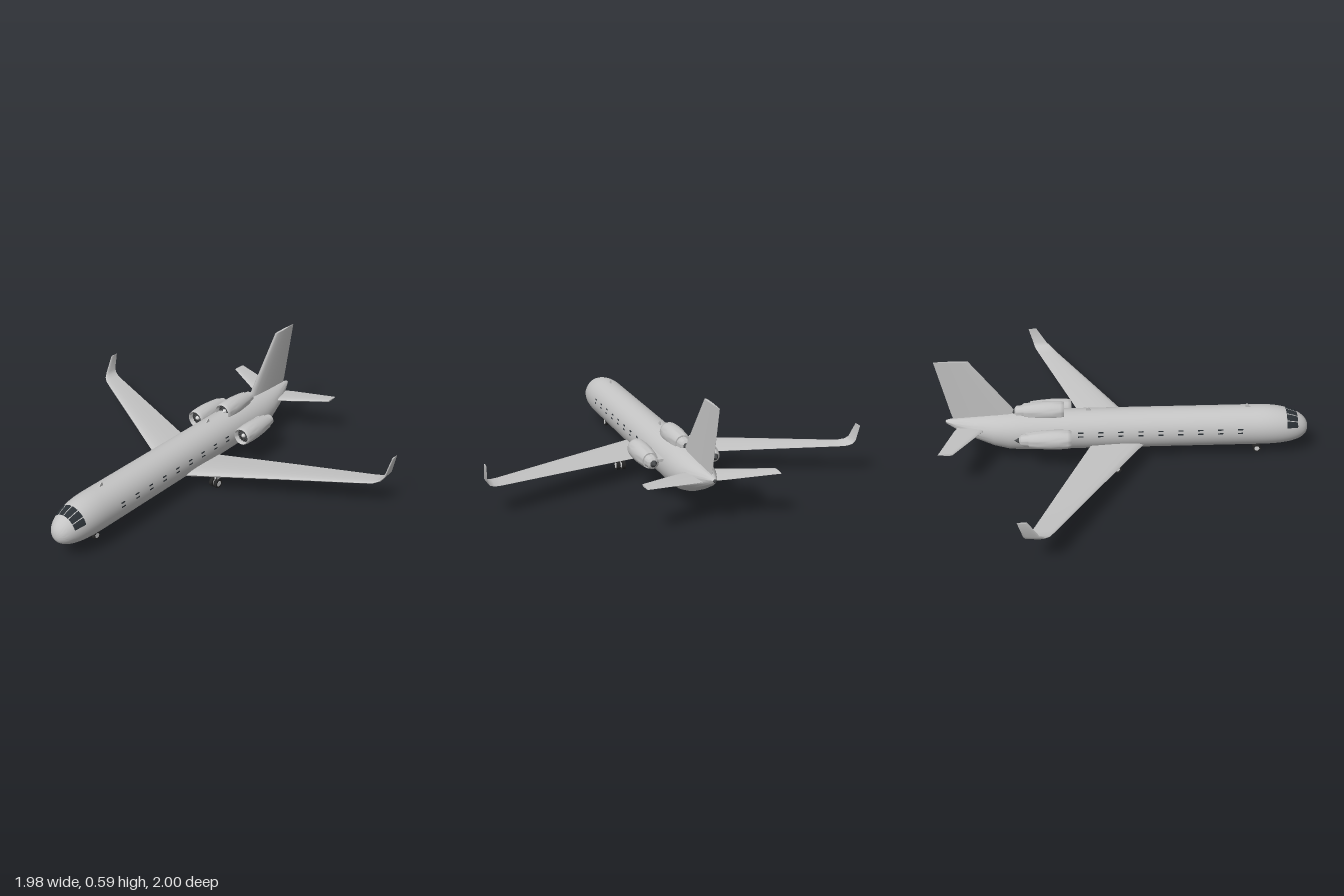
import * as THREE from 'three';
import { toCreasedNormals } from 'three/addons/utils/BufferGeometryUtils.js';

const mat = (name, color, side = THREE.FrontSide) => {
  const m = new THREE.MeshStandardMaterial({ color, side });
  m.name = name;
  return m;
};
const paint = mat('light grey paint', 0xc4c4c4);
const glass = mat('dark glass', 0x2b3136, THREE.DoubleSide);
const rubber = mat('tyre rubber', 0x262626);
const metal = mat('dark engine metal', 0x47494b);
const hubMetal = mat('pale hub metal', 0xd8d8d8);

function add(parent, name, geometry, material, x = 0, y = 0, z = 0) {
  const mesh = new THREE.Mesh(geometry, material);
  mesh.name = name;
  mesh.position.set(x, y, z);
  parent.add(mesh);
  return mesh;
}

// Skin a list of equal-length rings, cap both ends, and face outward
function loft(rings, crease = 0.8) {
  const n = rings[0].length, pos = [], idx = [];
  rings.forEach(r => r.forEach(p => pos.push(...p)));
  for (let i = 0; i < rings.length - 1; i++) {
    for (let j = 0; j < n; j++) {
      const a = i * n + j, b = i * n + (j + 1) % n;
      idx.push(a, b, a + n, b, b + n, a + n);
    }
  }
  for (const end of [0, rings.length - 1]) {
    const c = pos.length / 3;
    pos.push(...[0, 1, 2].map(k => rings[end].reduce((s, p) => s + p[k], 0) / n));
    for (let j = 0; j < n; j++) {
      const a = end * n + j, b = end * n + (j + 1) % n;
      if (end === 0) idx.push(b, a, c); else idx.push(a, b, c);
    }
  }
  const P = i => new THREE.Vector3().fromArray(pos, i * 3);
  let volume = 0;
  for (let i = 0; i < idx.length; i += 3) volume += P(idx[i]).dot(P(idx[i + 1]).cross(P(idx[i + 2])));
  if (volume < 0) idx.reverse();
  const g = new THREE.BufferGeometry();
  g.setAttribute('position', new THREE.Float32BufferAttribute(pos, 3));
  g.setIndex(idx);
  return toCreasedNormals(g, crease);
}

// Tail stations: z, top, bottom, half width
const TAIL = [
  [0.72, 0.278, 0.059, 0.106], [-0.54, 0.278, 0.059, 0.106], [-0.62, 0.275, 0.066, 0.104],
  [-0.7, 0.27, 0.088, 0.095], [-0.8, 0.26, 0.132, 0.072], [-0.9, 0.248, 0.183, 0.034],
  [-0.955, 0.238, 0.219, 0.009]];

// Fuselage cross-section at z: centre height, half width, half height
function section(z) {
  if (z > 0.72) {
    const t = Math.min((z - 0.72) / 0.28, 1), k = Math.pow(1 - Math.pow(t, 2.4), 0.43);
    return [0.1685 - 0.018 * t * t, 0.106 * k, 0.1095 * k];
  }
  let i = 0;
  while (i < TAIL.length - 2 && z < TAIL[i + 1][0]) i++;
  const a = TAIL[i], b = TAIL[i + 1], t = (z - a[0]) / (b[0] - a[0]);
  const [top, bottom, w] = [1, 2, 3].map(k => a[k] + (b[k] - a[k]) * t);
  return [(top + bottom) / 2, w, (top - bottom) / 2];
}

// Point on the fuselage skin, angle measured from the top
function skin(z, angle, offset = 0) {
  const [cy, rx, ry] = section(z);
  return [Math.sin(angle) * (rx + offset), cy + Math.cos(angle) * (ry + offset), z];
}

// Thin plate following the fuselage skin
function skinPatch(z0, z1, a0, a1, offset, n = 5) {
  const pos = [], idx = [];
  for (let i = 0; i <= n; i++) {
    for (let j = 0; j <= n; j++) {
      pos.push(...skin(z0 + (z1 - z0) * i / n, a0 + (a1 - a0) * j / n, offset));
      const k = i * (n + 1) + j;
      if (i < n && j < n) idx.push(k, k + n + 1, k + 1, k + 1, k + n + 1, k + n + 2);
    }
  }
  const g = new THREE.BufferGeometry();
  g.setAttribute('position', new THREE.Float32BufferAttribute(pos, 3));
  g.setIndex(idx);
  g.computeVertexNormals();
  return g;
}

// Aerofoil surface; stations: x, y, leading z, trailing z, thickness, tilt
const FOIL = [[0, 0], [0.03, 0.55], [0.12, 0.9], [0.3, 1], [0.55, 0.78], [0.8, 0.4], [1, 0.04]];
function foil(stations, side = 1) {
  const outline = [...FOIL, ...FOIL.slice(1).reverse().map(([u, t]) => [u, -t])];
  return loft(stations.map(([x, y, lead, trail, thick, tilt]) => outline.map(([u, t]) => [
    side * (x - Math.sin(tilt) * t * thick / 2),
    y + Math.cos(tilt) * t * thick / 2,
    lead + (trail - lead) * u])));
}

const lathe = (points, seg = 32) => toCreasedNormals(
  new THREE.LatheGeometry(points.map(p => new THREE.Vector2(...p)), seg).rotateX(Math.PI / 2), 0.7);

// Engine with its intake at local z = 0
function engine(name, length) {
  const g = new THREE.Group(), L = length;
  g.name = name;
  add(g, 'nacelle', lathe([[0.018, -L - 0.05], [0.03, -L - 0.04], [0.034, -L], [0.041, -L],
    [0.047, -L * 0.8], [0.052, -L * 0.5], [0.0525, -L * 0.3], [0.05, -0.02], [0.047, -0.003],
    [0.044, 0], [0.041, -0.004], [0.039, -0.03]]), paint);
  add(g, 'fan disc', new THREE.CircleGeometry(0.04, 32), rubber, 0, 0, -0.029);
  for (let i = 0; i < 16; i++) {
    const blade = add(g, 'fan blade', new THREE.BoxGeometry(0.004, 0.036, 0.004).translate(0, 0.02, 0), metal, 0, 0, -0.026);
    blade.rotation.z = i * Math.PI / 8;
  }
  add(g, 'spinner', lathe([[0.013, -0.027], [0.009, -0.015], [0, -0.007]], 20), hubMetal);
  add(g, 'exhaust cone', lathe([[0, -L - 0.078], [0.02, -L - 0.043], [0.02, -L - 0.035]], 20), metal);
  return g;
}

// Twin-wheel leg
function landingGear(name, r, gap, width, strutTop) {
  const g = new THREE.Group();
  g.name = name;
  const disc = (rad, w) => new THREE.CylinderGeometry(rad, rad, w, 24).rotateZ(Math.PI / 2);
  for (const s of [-1, 1]) {
    add(g, 'tyre', disc(r, width), rubber, s * gap, r, 0);
    add(g, 'wheel hub', disc(r * 0.6, width + 0.003), hubMetal, s * gap, r, 0);
  }
  add(g, 'axle', disc(0.005, gap * 2), metal, 0, r, 0);
  add(g, 'strut', new THREE.CylinderGeometry(0.006, 0.006, strutTop - r, 12), hubMetal, 0, (strutTop + r) / 2, 0);
  return g;
}

export function createModel() {
  const model = new THREE.Group();
  model.name = 'trijet aeroplane';

  // Fuselage
  const zs = [];
  for (let i = 0; i <= 18; i++) zs.push(0.72 + 0.2799 * Math.sin(i / 18 * Math.PI / 2));
  zs.reverse();
  zs.push(0.3, -0.1, ...TAIL.slice(1).map(s => s[0]));
  add(model, 'fuselage', loft(zs.map(z =>
    Array.from({ length: 48 }, (_, j) => skin(z, j / 48 * Math.PI * 2))), 1), paint);
  add(model, 'tail exhaust', new THREE.SphereGeometry(0.009, 16, 10), metal, 0, 0.2285, -0.954);

  // Cockpit panes
  for (let i = -3; i < 3; i++) {
    const a = i * 0.43;
    add(model, 'cockpit window', skinPatch(0.875, 0.937, a + 0.025, a + 0.405, 0.002), glass);
  }

  // Cabin window strips
  for (const s of [-1, 1]) {
    for (let i = 0; i < 9; i++) {
      const z = 0.62 - i * 0.107;
      for (const a of [1.292, 1.485]) {
        add(model, 'cabin window', skinPatch(z - 0.014, z + 0.014, s * (a - 0.033), s * (a + 0.033), 0.003, 1), glass);
      }
    }
  }

  for (const s of [1, -1]) {
    const sideName = s > 0 ? 'left' : 'right';
    // Swept wing with blended winglet
    add(model, sideName + 'Wing', foil([
      [0.03, 0.104, 0.133, -0.162, 0.034, 0.05], [0.105, 0.108, 0.09, -0.19, 0.032, 0.05],
      [0.5, 0.13, -0.137, -0.335, 0.02, 0.05], [0.9, 0.15, -0.367, -0.482, 0.011, 0.06],
      [0.94, 0.154, -0.39, -0.497, 0.01, 0.25], [0.966, 0.165, -0.412, -0.508, 0.009, 0.7],
      [0.979, 0.185, -0.436, -0.515, 0.008, 1.2], [0.986, 0.272, -0.492, -0.541, 0.006, 1.5]], s), paint);
    // Tailplane
    add(model, sideName + 'Tailplane', foil([
      [0.01, 0.204, -0.717, -0.888, 0.022, 0.1], [0.08, 0.21, -0.755, -0.91, 0.018, 0.1],
      [0.335, 0.231, -0.893, -0.97, 0.008, 0.1]], s), paint);
    // Side engine and pylon
    const e = engine(sideName + 'Engine', 0.225);
    e.position.set(s * 0.162, 0.2, -0.285);
    model.add(e);
    add(model, sideName + 'Pylon', new THREE.BoxGeometry(0.04, 0.014, 0.19), paint, s * 0.11, 0.202, -0.435);
    // Main gear and its door
    const leg = landingGear(sideName + 'MainGear', 0.026, 0.015, 0.018, 0.112);
    leg.position.set(s * 0.172, 0, -0.047);
    model.add(leg);
    add(model, sideName + 'GearDoor', new THREE.BoxGeometry(0.004, 0.035, 0.045), paint, s * 0.203, 0.085, -0.047);
  }

  // Centre engine
  const centre = engine('centreEngine', 0.215);
  centre.position.set(0, 0.282, -0.322);
  model.add(centre);

  // Upright fin, lofted sideways and turned up
  const fin = foil([[0.22, 0, -0.55, -0.91, 0.036, 0], [0.283, 0, -0.582, -0.928, 0.032, 0],
    [0.59, 0, -0.815, -0.997, 0.014, 0]]);
  add(model, 'fin', fin.rotateZ(Math.PI / 2), paint);

  // Nose gear
  const nose = landingGear('noseGear', 0.022, 0.0125, 0.016, 0.08);
  nose.position.z = 0.73;
  model.add(nose);

  // Blade aerials, above and below
  for (const [z, y, dir] of [[0.67, 0.276, 1], [-0.19, 0.276, 1], [0.19, 0.061, -1]]) {
    add(model, 'aerial', loft([[0, 0.014, -0.014], [0.02, -0.002, -0.013]].map(([h, f, b]) =>
      [[-0.003, h * dir, f], [0.003, h * dir, f], [0.003, h * dir, b], [-0.003, h * dir, b]])), paint, 0, y, z);
  }
  return model;
}
